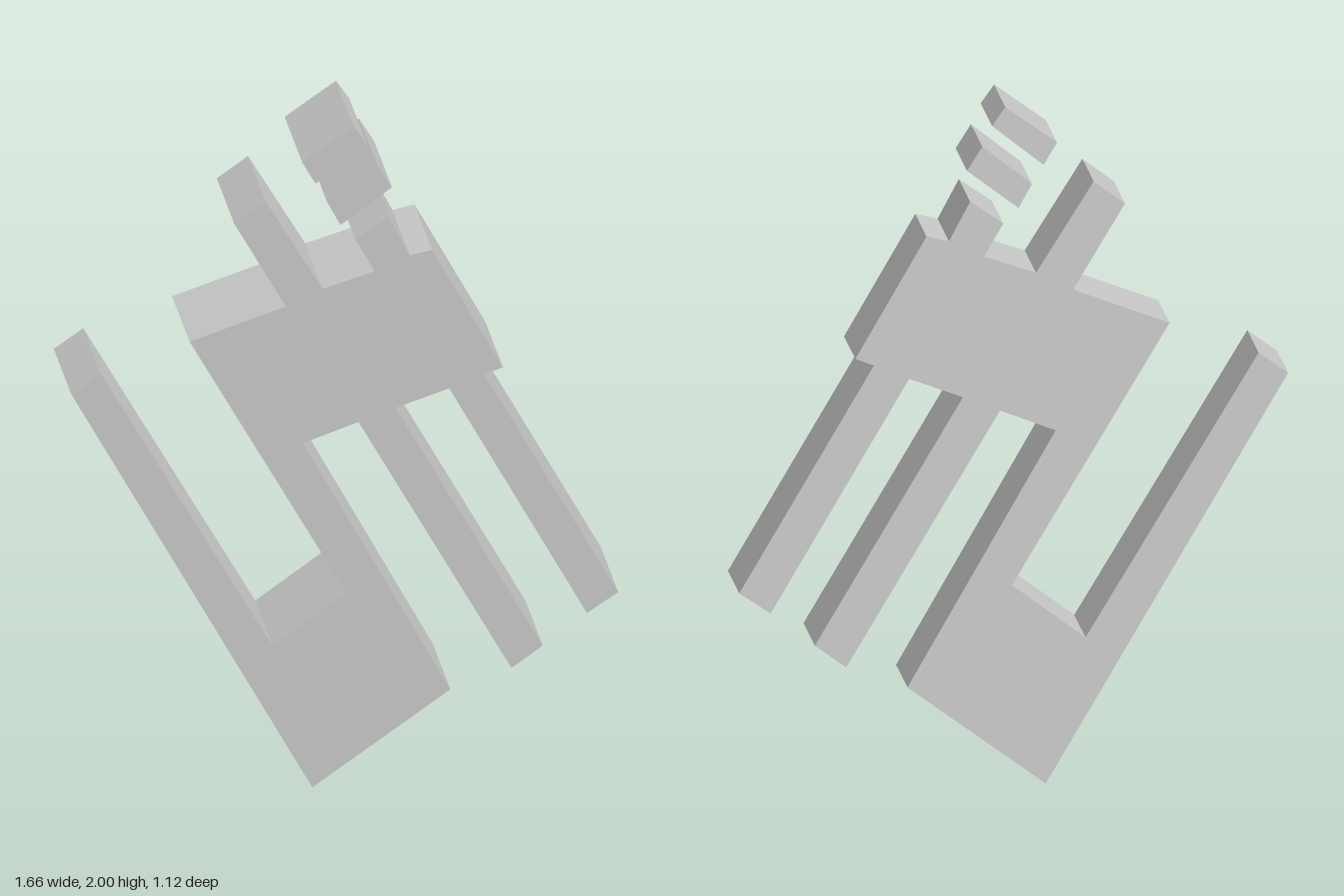
import * as THREE from 'three';

const material = new THREE.MeshStandardMaterial({ color: 0xcccccc });

// Thickness direction of the tilted emblem, from its front face to its back
const BACK = [-0.2, 0.027, -0.48];

// Maps an outline (x, y, t = 0 back .. 1 front) onto the leaning, turned slab
const tilt = new THREE.Matrix4().set(
  1, 0, -BACK[0], BACK[0],
  0, 1, -BACK[1], BACK[1],
  -0.418, 0.054, -BACK[2], 0.234 + BACK[2],
  0, 0, 0, 1
);

function slab(name, outline) {
  const shape = new THREE.Shape(outline.map(([x, y]) => new THREE.Vector2(x, y)));
  const geometry = new THREE.ExtrudeGeometry(shape, { depth: 1, bevelEnabled: false });
  geometry.applyMatrix4(tilt);
  geometry.computeVertexNormals();
  const mesh = new THREE.Mesh(geometry, material);
  mesh.name = name;
  return mesh;
}

export function createModel() {
  const group = new THREE.Group();
  group.name = 'tiltedEmblem';

  group.add(slab('body', [
    // foot and first gap
    [0, 0], [0.375, 0.285], [-0.01, 1.03], [0.14, 1.09],
    // middle leg and second gap
    [0.54, 0.345], [0.625, 0.41], [0.24, 1.13], [0.385, 1.185],
    // outer leg and shoulder
    [0.745, 0.505], [0.83, 0.565], [0.48, 1.225], [0.53, 1.245],
    [0.345, 1.6], [0.285, 1.585],
    // short upper prong and notch
    [0.23, 1.7], [0.14, 1.635], [0.19, 1.54], [0.05, 1.49],
    // long upper prong
    [-0.1, 1.755], [-0.185, 1.69], [-0.05, 1.44], [-0.31, 1.34],
    // hook
    [0.1, 0.58], [-0.1, 0.425], [-0.55, 1.25], [-0.63, 1.19]
  ]));

  // Two loose bars above the short prong
  group.add(slab('lowerBar', [[0.1, 1.68], [0.24, 1.79], [0.2, 1.86], [0.065, 1.75]]));
  group.add(slab('upperBar', [[0.035, 1.805], [0.175, 1.92], [0.14, 1.975], [0, 1.87]]));

  return group;
}
